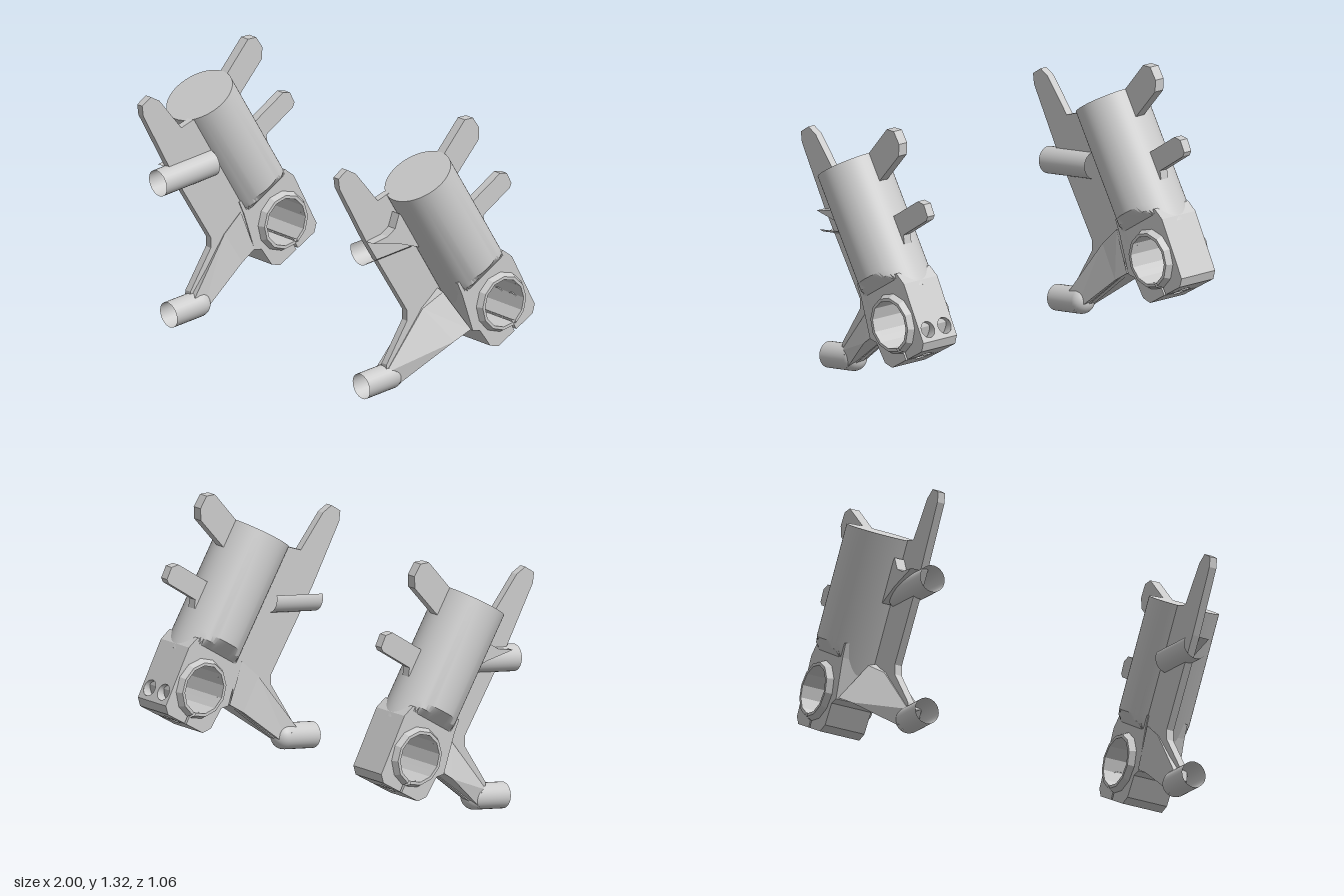
import * as THREE from 'three';
import { mergeGeometries, toCreasedNormals } from 'three/addons/utils/BufferGeometryUtils.js';

const material = new THREE.MeshStandardMaterial({ color: 0xcccccc, side: THREE.DoubleSide });
const CX = 0.8275; // distance of each bracket's centre from the middle
const V2 = (z, y) => new THREE.Vector2(z, y);

function add(group, name, geometry) {
  const mesh = new THREE.Mesh(geometry, material);
  mesh.name = name;
  group.add(mesh);
  return mesh;
}

// Side profile in [z, y], extruded between two x positions
function slab(points, xa, xb) {
  const shape = new THREE.Shape(points.map(p => V2(...p)));
  const g = new THREE.ExtrudeGeometry(shape, { depth: Math.abs(xb - xa), bevelEnabled: false });
  return g.rotateY(-Math.PI / 2).translate(Math.max(xa, xb), 0, 0);
}

// Open pipe between two [z, y] points
function pipe(x, a, b, r, start = 0, sweep = Math.PI * 2) {
  const dz = b[0] - a[0], dy = b[1] - a[1];
  return new THREE.CylinderGeometry(r, r, Math.hypot(dz, dy), 28, 1, true, start, sweep)
    .rotateX(Math.atan2(dz, dy))
    .translate(x, (a[1] + b[1]) / 2, (a[0] + b[0]) / 2);
}

// Flat wall over a profile edge, with optional holes in (x, distance along edge)
function panel(x, width, a, b, holes = []) {
  const len = a.distanceTo(b), w = width / 2;
  const shape = new THREE.Shape([V2(-w, 0), V2(w, 0), V2(w, len), V2(-w, len)]);
  shape.holes.push(...holes);
  const ex = new THREE.Vector3(1, 0, 0);
  const ey = new THREE.Vector3(0, b.y - a.y, b.x - a.x).normalize();
  const m = new THREE.Matrix4().makeBasis(ex, ey, ex.clone().cross(ey)).setPosition(x, a.y, a.x);
  return new THREE.ShapeGeometry(shape, 20).applyMatrix4(m);
}

// Barrel whose lower end is cut in to the width of the clamp
function barrelGeometry() {
  const R = 0.1725;
  const rows = [[0, -0.68], [R, -0.68], [R, -0.617], [R, -0.586], [R, -0.555], [R, 0], [0, 0]];
  const g = new THREE.LatheGeometry(rows.map(p => V2(...p)), 64);
  const pos = g.attributes.position;
  for (let i = 0; i < pos.count; i++) {
    const t = THREE.MathUtils.clamp((pos.getY(i) + 0.617) / 0.062, 0, 1);
    const limit = THREE.MathUtils.lerp(0.1075, R, t);
    pos.setX(i, THREE.MathUtils.clamp(pos.getX(i), -limit, limit));
  }
  return toCreasedNormals(g, 0.4);
}

// Split clamp block with bore, slit and bolt holes
function clampGeometry(x, width, bore, boltHoles) {
  const profile = [[-0.31, 0.187], [-0.26, 0.2], [-0.197, 0.289], [-0.154, 0.295], [-0.09, 0.485],
    [-0.06, 0.55], [-0.34, 0.66], [-0.393, 0.62], [-0.533, 0.355], [-0.52, 0.31]].map(p => V2(...p));
  const F = profile[0], E = profile[9], half = 0.006, r = 0.118;
  const mid = E.clone().lerp(F, 0.5), along = F.clone().sub(E).normalize();
  const theta = Math.atan2(mid.y - bore.y, mid.x - bore.x), gap = half / r;
  const contour = [...profile, mid.clone().addScaledVector(along, -half)];
  for (let i = 0; i <= 12; i++) {
    const a = theta - gap - (i / 12) * (Math.PI * 2 - 2 * gap);
    contour.push(V2(bore.x + r * Math.cos(a), bore.y + r * Math.sin(a)));
  }
  contour.push(mid.clone().addScaledVector(along, half));

  const parts = [-1, 1].map(k => new THREE.ShapeGeometry(new THREE.Shape(contour))
    .rotateY(-Math.PI / 2).translate(x + k * width / 2, 0, 0));

  // Bottom wall opening: a slit widened by a round hole
  const len = E.distanceTo(F), hr = 0.042, a = Math.asin(half / hr), w = width / 2 - 0.001;
  const slit = new THREE.Path();
  slit.moveTo(-w, len / 2 - half);
  slit.absarc(0, len / 2, hr, Math.PI + a, 2 * Math.PI - a, false);
  slit.lineTo(w, len / 2 - half);
  slit.lineTo(w, len / 2 + half);
  slit.absarc(0, len / 2, hr, a, Math.PI - a, false);
  slit.lineTo(-w, len / 2 + half);
  parts.push(panel(x, width, E, F, [slit]));
  const inner = mid.clone().lerp(bore, 0.36);
  parts.push(pipe(x, [mid.x, mid.y], [inner.x, inner.y], hr));

  const last = contour.length - 1;
  contour.forEach((p, i) => {
    if (i === 9 || i === last) return;
    const q = contour[i + 1], holes = [];
    if (i === 7 && boltHoles) {
      const c = p.clone().lerp(q, 0.8), dir = q.clone().sub(p).normalize();
      for (const hx of [-0.053, 0.053]) {
        holes.push(new THREE.Path().absarc(hx, p.distanceTo(c), 0.04, 0, Math.PI * 2));
        parts.push(pipe(x + hx, [c.x, c.y], [c.x - dir.y * 0.06, c.y + dir.x * 0.06], 0.04));
      }
    }
    parts.push(panel(x, width, p, q, holes));
  });
  return mergeGeometries(parts.map(g => g.index ? g.toNonIndexed() : g));
}

// Tapered arm: four-cornered sections of [x, y, z] joined in loops
function armGeometry(s) {
  const sections = [
    [[0.715, 0.3, -0.15], [0.925, 0.3, -0.15], [0.8, 0.47, -0.08], [0.72, 0.5, -0.07]],
    [[0.71, 0.25, -0.07], [0.9, 0.25, -0.07], [0.77, 0.4, 0.02], [0.72, 0.41, 0.03]],
    [[0.69, 0.045, 0.19], [0.775, 0.045, 0.19], [0.765, 0.12, 0.24], [0.69, 0.13, 0.24]],
  ];
  const pos = [];
  const put = (...corners) => corners.forEach(([x, y, z]) => pos.push(s * x, y, z));
  for (let k = 0; k < 2; k++) {
    for (let i = 0; i < 4; i++) {
      const j = (i + 1) % 4, [p, q] = [sections[k], sections[k + 1]];
      if (s > 0) put(p[i], q[j], p[j], p[i], q[i], q[j]);
      else put(p[i], p[j], q[j], p[i], q[j], q[i]);
    }
  }
  const g = new THREE.BufferGeometry();
  g.setAttribute('position', new THREE.Float32BufferAttribute(pos, 3));
  g.computeVertexNormals();
  return g;
}

function bracket(s) {
  const group = new THREE.Group();
  group.name = s > 0 ? 'leftBracket' : 'rightBracket';

  // Leaning barrel
  const barrel = add(group, 'barrel', barrelGeometry());
  barrel.position.set(s * CX, 1.09, 0.097);
  barrel.rotation.x = 0.549;

  // Clamp and the split collar through its bore
  const bore = V2(-0.323, 0.407);
  add(group, 'clamp', clampGeometry(s * CX, 0.215, bore, s > 0));
  const ring = [[0.118, -0.138], [0.133, -0.138], [0.152, -0.1], [0.152, 0.1], [0.133, 0.138],
    [0.118, 0.138], [0.118, -0.138]].map(p => V2(...p));
  const collar = new THREE.LatheGeometry(ring, 12, 2.15, Math.PI * 2 - 0.1).rotateZ(-Math.PI / 2);
  add(group, 'collar', toCreasedNormals(collar, 0.3)).position.set(s * CX, bore.y, bore.x);

  // Thin front plate with its upper tab and lower leg
  add(group, 'frontPlate', slab([[0.477, 1.18], [0.53, 1.145], [0.523, 1.093], [0.361, 0.802],
    [0.11, 0.407], [0.11, 0.355], [0.235, 0.16], [0.24, 0.09], [0.186, 0.04], [-0.126, 0.292],
    [-0.12, 0.45], [0.15, 1.0], [0.22, 1.015], [0.29, 0.99], [0.425, 1.152]], s * 0.725, s * 0.763));
  add(group, 'arm', armGeometry(s));

  // Foot socket
  add(group, 'footSocket', pipe(s * 0.73, [0.19, 0.09], [0.364, 0.069], 0.064));
  add(group, 'footEnd', new THREE.SphereGeometry(0.064, 24, 12, 0, Math.PI * 2, 0, Math.PI / 2)
    .rotateX(-Math.PI / 2 + 0.12)).position.set(s * 0.73, 0.09, 0.19);

  // Upper socket: a full pipe on one bracket, an open trough on the other
  const socket = s > 0
    ? pipe(s * 0.735, [0.1, 0.778], [0.38, 0.743], 0.066, -2, 2.8)
    : pipe(s * 0.735, [0.1, 0.778], [0.426, 0.737], 0.066);
  add(group, 'upperSocket', socket);
  add(group, 'socketGusset', slab([[0.36, 0.8], [0.27, 0.82], [0.225, 0.85], [0.2, 0.92],
    [0.1, 0.83], [0.08, 0.73], [0.2, 0.77]], s * 0.74, s * 0.815));

  // Rear fins
  add(group, 'upperFin', slab([[0.0, 1.1], [-0.05, 1.18], [-0.175, 1.323], [-0.225, 1.323],
    [-0.263, 1.267], [-0.26, 1.208], [-0.126, 1.058], [-0.07, 1.0]], s * 0.796, s * 0.848));
  add(group, 'lowerFin', slab([[-0.16, 0.86], [-0.214, 0.897], [-0.393, 1.012], [-0.435, 1.005],
    [-0.463, 0.95], [-0.453, 0.928], [-0.291, 0.823], [-0.298, 0.78], [-0.22, 0.78]], s * 0.8, s * 0.845));
  return group;
}

export function createModel() {
  const model = new THREE.Group();
  model.name = 'bracketPair';
  model.add(bracket(1), bracket(-1));
  return model;
}
